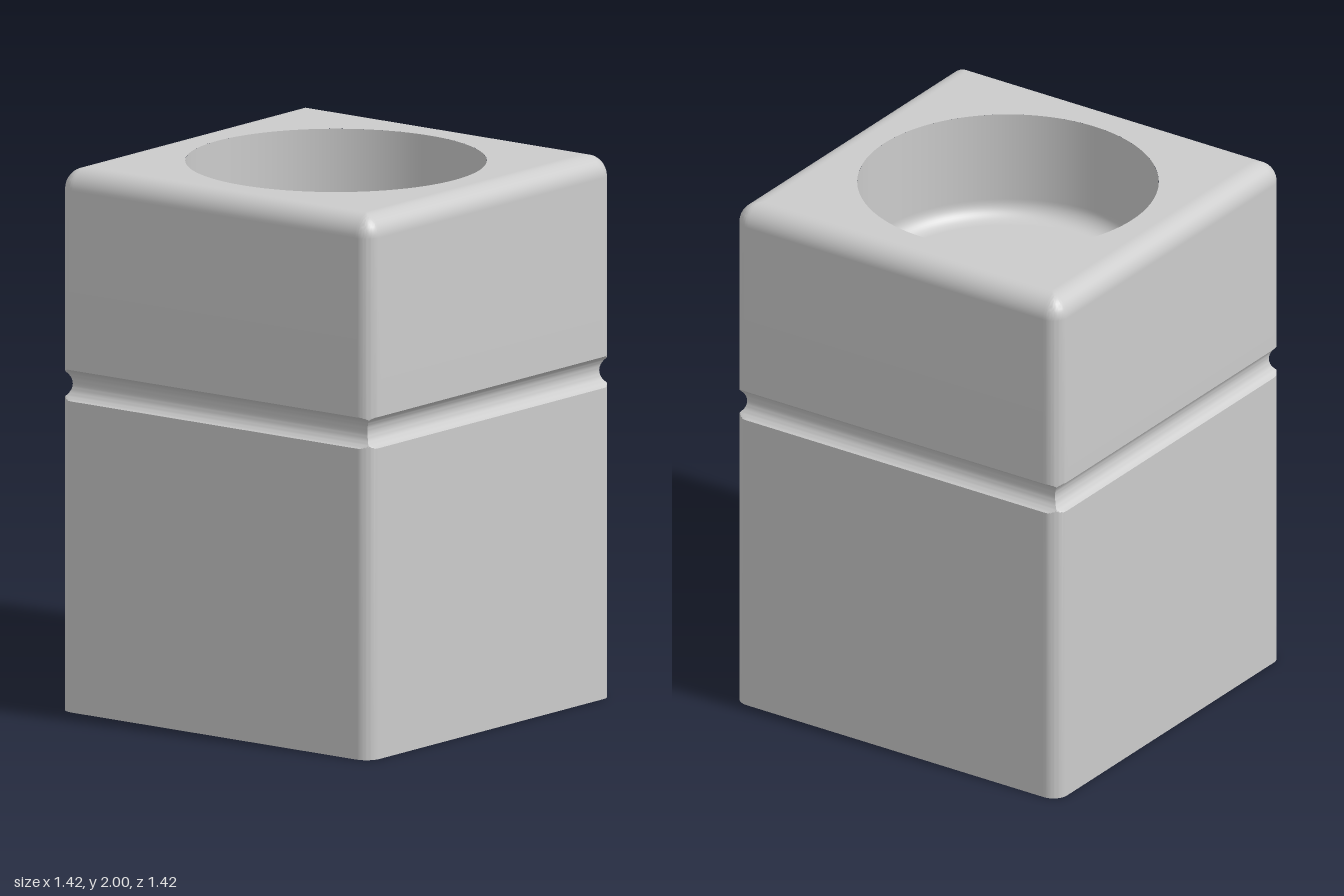
import * as THREE from 'three';
import { toCreasedNormals } from 'three/addons/utils/BufferGeometryUtils.js';

const HALF = 0.712, HEIGHT = 2;
const CORNER = 0.06, TOP_FILLET = 0.08, HOLD = 0.005;
const GROOVE_Y = 1.203, GROOVE_HALF = 0.0575, GROOVE_DEPTH = 0.037;
const CUP_R = 0.543, CUP_DEPTH = 0.41, CUP_FILLET = 0.065;
const SEG = 16;

// Rounded square inset by `inset`, then cut back to |x|, |z| <= clip
function outline(inset = 0, clip = HALF) {
  const s = HALF - inset, r = Math.max(0, CORNER - inset), c = s - r;
  const corner = [[s, c - HOLD]];
  for (let i = 0; i <= SEG; i++) {
    const a = (i / SEG) * Math.PI / 2;
    corner.push([c + r * Math.cos(a), c + r * Math.sin(a)]);
  }
  corner.push([c - HOLD, s]);
  const cut = (v) => Math.max(-clip, Math.min(clip, v));
  const points = [];
  for (let k = 0; k < 4; k++) {
    for (const [x, z] of corner) {
      const [px, pz] = [[x, z], [-z, x], [-x, -z], [z, -x]][k];
      points.push(new THREE.Vector2(cut(px), cut(pz)));
    }
  }
  return points;
}

// Side wall skinned through horizontal loops, bottom to top
function wallGeometry() {
  const rows = [{ y: 0, loop: outline() }];

  // round groove, mitred at the corners
  const R = (GROOVE_DEPTH ** 2 + GROOVE_HALF ** 2) / (2 * GROOVE_DEPTH);
  const span = Math.asin(GROOVE_HALF / R);
  const centre = HALF - GROOVE_DEPTH + R;
  rows.push({ y: GROOVE_Y - GROOVE_HALF - HOLD, loop: outline() });
  for (let i = 0; i <= 20; i++) {
    const a = span * (i / 10 - 1);
    rows.push({ y: GROOVE_Y + R * Math.sin(a), loop: outline(0, centre - R * Math.cos(a)) });
  }
  rows.push({ y: GROOVE_Y + GROOVE_HALF + HOLD, loop: outline() });

  // rounded top edge
  rows.push({ y: HEIGHT - TOP_FILLET - HOLD, loop: outline() });
  for (let i = 0; i <= 12; i++) {
    const a = (i / 12) * Math.PI / 2;
    rows.push({
      y: HEIGHT - TOP_FILLET * (1 - Math.sin(a)),
      loop: outline(TOP_FILLET * (1 - Math.cos(a))),
    });
  }
  rows.push({ y: HEIGHT, loop: outline(TOP_FILLET + HOLD) });

  const n = rows[0].loop.length, positions = [], index = [];
  rows.forEach(({ y, loop }, k) => loop.forEach((p, j) => {
    positions.push(p.x, y, p.y);
    if (k === rows.length - 1) return;
    const a = k * n + j, b = k * n + (j + 1) % n, c = b + n, d = a + n;
    index.push(a, d, b, b, d, c);
  }));
  const geometry = new THREE.BufferGeometry();
  geometry.setAttribute('position', new THREE.Float32BufferAttribute(positions, 3));
  geometry.setIndex(index);
  return toCreasedNormals(geometry, 0.5);
}

// Cup wall, rounded inner edge and floor, from the rim to the centre
function cupGeometry() {
  const floor = HEIGHT - CUP_DEPTH;
  const profile = [
    new THREE.Vector2(CUP_R, HEIGHT),
    new THREE.Vector2(CUP_R, floor + CUP_FILLET + HOLD),
  ];
  for (let i = 0; i <= 12; i++) {
    const a = (i / 12) * Math.PI / 2;
    profile.push(new THREE.Vector2(
      CUP_R - CUP_FILLET * (1 - Math.cos(a)),
      floor + CUP_FILLET * (1 - Math.sin(a)),
    ));
  }
  profile.push(new THREE.Vector2(CUP_R - CUP_FILLET - HOLD, floor), new THREE.Vector2(0, floor));
  return new THREE.LatheGeometry(profile, 96);
}

export function createModel() {
  const group = new THREE.Group();
  group.name = 'squareHolder';
  const material = new THREE.MeshStandardMaterial({ color: 0xcccccc });
  const add = (name, geometry) => {
    const mesh = new THREE.Mesh(geometry, material);
    mesh.name = name;
    group.add(mesh);
    return mesh;
  };

  add('groovedWall', wallGeometry());
  add('cup', cupGeometry());

  // top face around the cup opening
  const top = new THREE.Shape(outline(TOP_FILLET + HOLD));
  top.holes.push(new THREE.Path().absarc(0, 0, CUP_R, 0, Math.PI * 2, true));
  add('topFace', new THREE.ShapeGeometry(top, 96).rotateX(-Math.PI / 2)).position.y = HEIGHT;

  // flat underside
  add('base', new THREE.ShapeGeometry(new THREE.Shape(outline())).rotateX(Math.PI / 2));

  return group;
}
